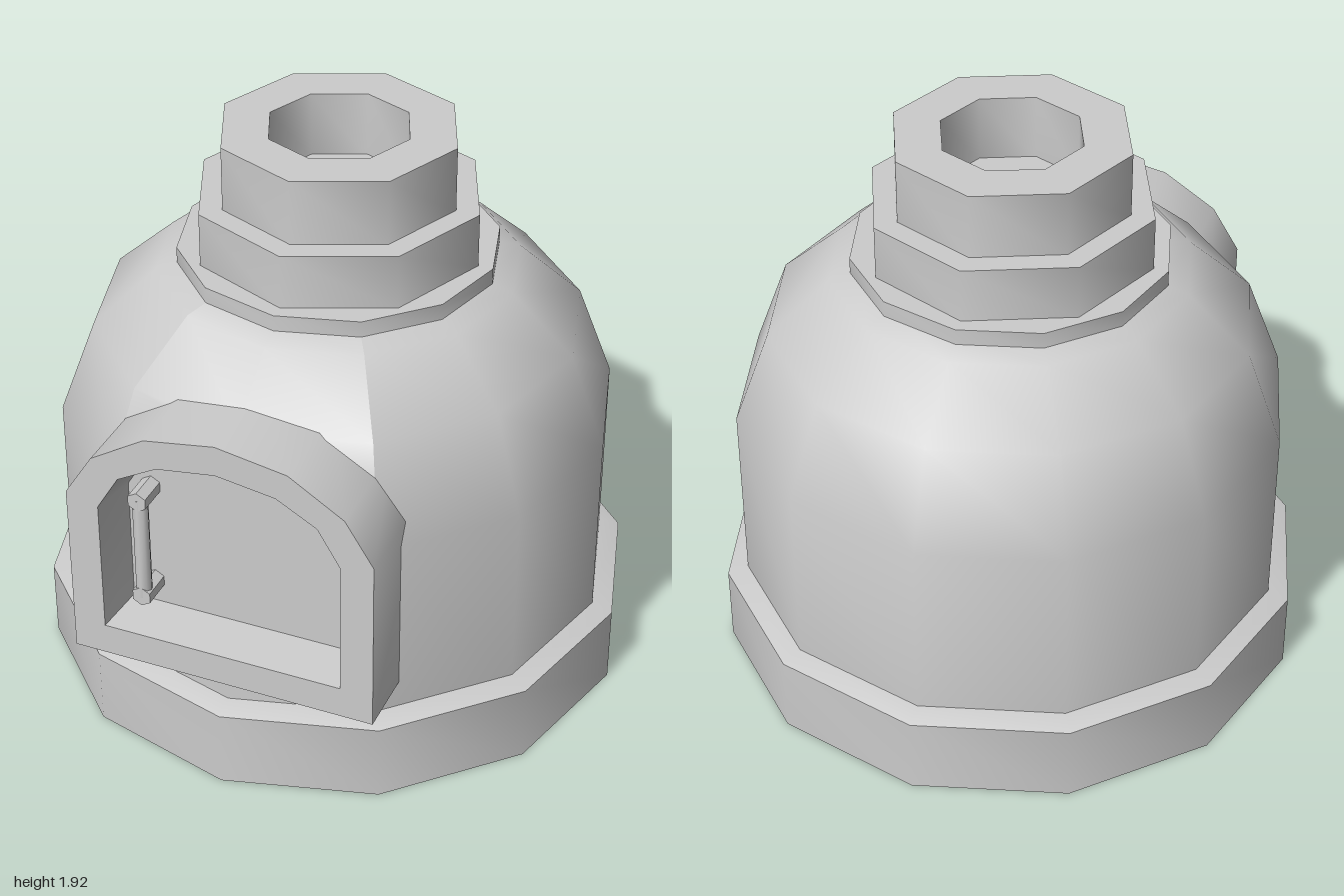
import * as THREE from 'three';
import { toCreasedNormals } from 'three/addons/utils/BufferGeometryUtils.js';

const CREASE = 0.87;
const material = new THREE.MeshStandardMaterial({ color: 0xcccccc, side: THREE.DoubleSide });

function add(group, name, geometry) {
  const mesh = new THREE.Mesh(toCreasedNormals(geometry, CREASE), material);
  mesh.name = name;
  group.add(mesh);
  return mesh;
}

// Profile of [radius, y] pairs turned about the vertical axis
function turn(profile, sides, start = 0, sweep = Math.PI * 2) {
  const points = profile.map(([r, y]) => new THREE.Vector2(r, y));
  return new THREE.LatheGeometry(points, sides, start, sweep);
}

// Arched outline mirrored from its right half
function arch(half) {
  const mirrored = half.filter(([x]) => x > 0).reverse().map(([x, y]) => [-x, y]);
  return [...half, ...mirrored].map(([x, y]) => new THREE.Vector2(x, y));
}

export function createModel() {
  const model = new THREE.Group();
  model.name = 'domedOven';

  // Twelve-sided plinth with a sloping rim
  add(model, 'base', turn([[0, 0], [1, 0], [1, 0.27], [0.92, 0.297], [0, 0.297]], 12));

  // Dome, left open where the doorway cuts through its two front panels
  const cap = [[0.81, 1.25], [0.6, 1.44], [0.5, 1.468]];
  const step = Math.PI / 6;
  add(model, 'dome', turn([[0.93, 0.28], [0.93, 0.93], ...cap], 10, step, step * 10));
  add(model, 'domeBelowDoor', turn([[0.93, 0.28], [0.93, 0.45]], 2, -step, step * 2));
  const above = turn([[0.829, 1.2], ...cap], 2, -step, step * 2);
  const p = above.attributes.position;
  for (let i = 0; i < p.count; i++) {
    // lower the outer corners along the dome's slope
    if (p.getY(i) < 1.22 && Math.abs(p.getX(i)) > 0.1) {
      const k = 0.859 / 0.829;
      p.setXYZ(i, p.getX(i) * k, 1.12, p.getZ(i) * k);
    }
  }
  add(model, 'domeAboveDoor', above);

  // Collar and stepped, hollow chimney
  add(model, 'collar', turn([[0, 1.46], [0.53, 1.46], [0.53, 1.515], [0, 1.515]], 12));
  add(model, 'chimneyBase', turn([[0, 1.51], [0.48, 1.51], [0.48, 1.7], [0, 1.7]], 8));
  add(model, 'chimney', turn([[0.4, 1.69], [0.4, 1.92], [0.24, 1.92], [0.24, 1.69]], 8));

  // Arched frame whose opening narrows towards the back
  const outer = [[0, 0.39], [0.52, 0.39], [0.52, 1.0], [0.425, 1.15], [0.24, 1.265], [0, 1.305]];
  const inner = [[0, 0.5], [0.41, 0.5], [0.41, 0.97], [0.335, 1.095], [0.2, 1.17], [0, 1.2]];
  const frameShape = new THREE.Shape(arch(outer));
  frameShape.holes.push(new THREE.Path(arch(inner)));
  const frame = new THREE.ExtrudeGeometry(frameShape, { depth: 0.375, bevelEnabled: false });
  frame.translate(0, 0, 0.6);
  const f = frame.attributes.position;
  for (let i = 0; i < f.count; i++) {
    const x = f.getX(i), y = f.getY(i);
    if (f.getZ(i) < 0.7 && y > 0.45 && y < 1.22 && Math.abs(x) < 0.415) {
      f.setXY(i, x * 0.87, 0.8 + (y - 0.8) * 0.87);
    }
  }
  add(model, 'doorFrame', frame);

  // Recessed door
  const doorShape = new THREE.Shape(arch(inner.map(([x, y]) => [x * 0.97, 0.8 + (y - 0.8) * 0.97])));
  const door = new THREE.ExtrudeGeometry(doorShape, { depth: 0.03, bevelEnabled: false });
  door.translate(0, 0, 0.78);
  add(model, 'door', door);

  // Handle: a bar on two short posts
  const handle = new THREE.Group();
  handle.name = 'doorHandle';
  handle.position.set(-0.305, 0.79, 0.89);
  model.add(handle);
  add(handle, 'handleBar', new THREE.CylinderGeometry(0.027, 0.027, 0.38, 8));
  for (const side of [-1, 1]) {
    const post = new THREE.CylinderGeometry(0.035, 0.035, 0.11, 6);
    post.rotateX(Math.PI / 2);
    add(handle, 'handlePost', post).position.set(0, side * 0.185, -0.03);
  }

  return model;
}
